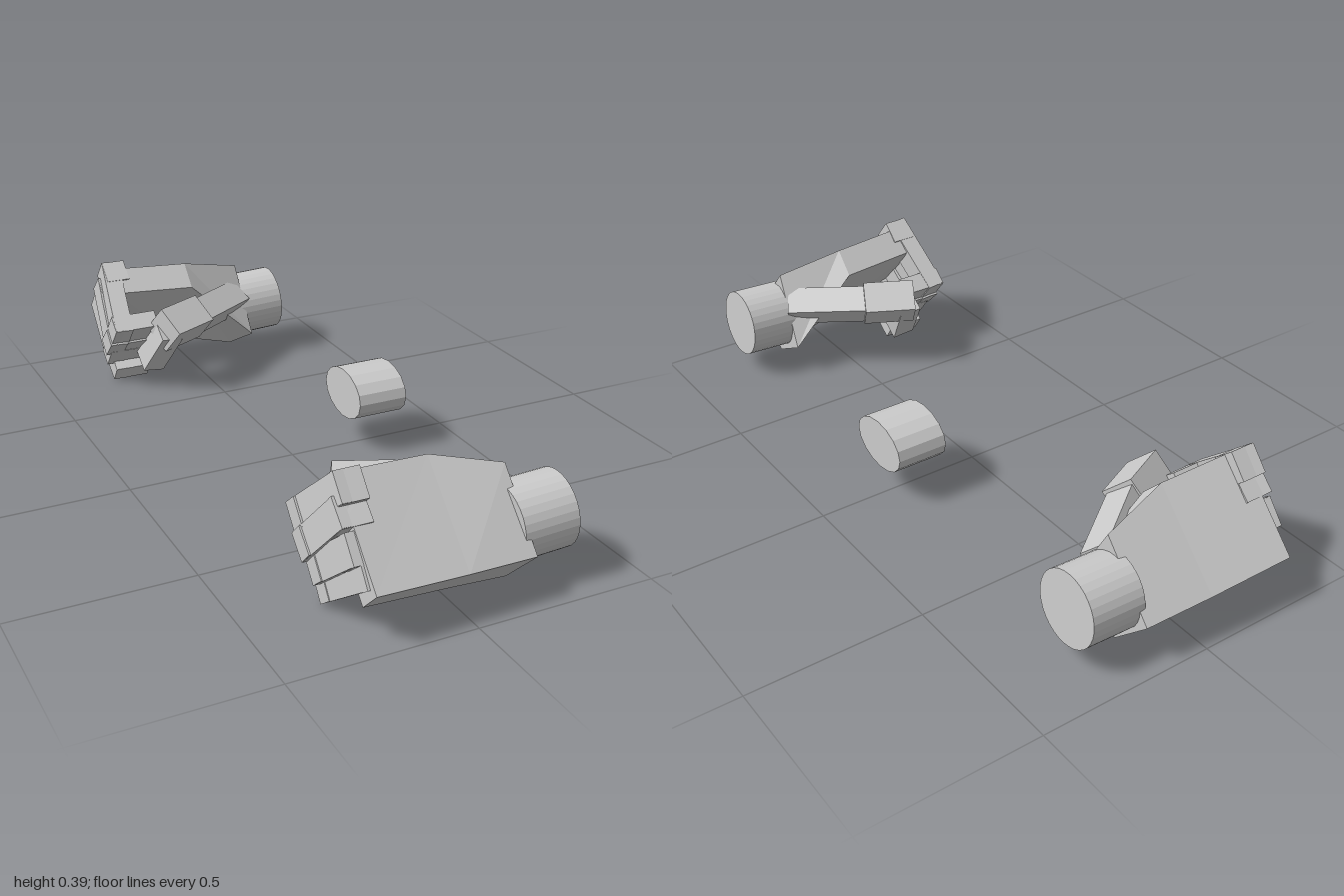
import * as THREE from 'three';

const material = new THREE.MeshStandardMaterial({ color: 0xcccccc, flatShading: true });
const V = (x, y, z) => new THREE.Vector3(x, y, z);

function mesh(name, geometry) {
  const m = new THREE.Mesh(geometry, material);
  m.name = name;
  return m;
}

// Box running from p to q, with height measured along "up" and depth across it
function bar(name, p, q, height, depth, up) {
  const along = q.clone().sub(p);
  const length = along.length();
  along.normalize();
  const h = up.clone().addScaledVector(along, -up.dot(along)).normalize();
  const d = along.clone().cross(h);
  const m = mesh(name, new THREE.BoxGeometry(length, height, depth));
  m.quaternion.setFromRotationMatrix(new THREE.Matrix4().makeBasis(along, h, d));
  m.position.copy(p).add(q).multiplyScalar(0.5);
  return m;
}

// Loft of four-cornered sections [x, y, z]; side -1 mirrors it in z
function loft(sections, side) {
  const points = sections.flat().flatMap(([x, y, z]) => [x, y, z * side]);
  const index = [];
  const quad = (a, b, c, d) =>
    side > 0 ? index.push(a, b, c, a, c, d) : index.push(a, c, b, a, d, c);
  const last = (sections.length - 1) * 4;
  for (let s = 0; s < last; s += 4)
    for (let i = 0; i < 4; i++) {
      const j = (i + 1) % 4;
      quad(s + i, s + 4 + i, s + 4 + j, s + j);
    }
  quad(0, 1, 2, 3);
  quad(last + 3, last + 2, last + 1, last);
  const g = new THREE.BufferGeometry();
  g.setAttribute('position', new THREE.Float32BufferAttribute(points, 3));
  g.setIndex(index);
  const flat = g.toNonIndexed();
  flat.computeVertexNormals();
  return flat;
}

// Curled fingers: outer knuckle (x, y, z), inner knuckle (x, y, z), width
const FINGERS = [
  { name: 'indexFinger', outer: [-0.29, 0.355, 0.83], inner: [-0.315, 0.19, 0.64], width: 0.08 },
  { name: 'middleFinger', outer: [-0.3, 0.302, 0.848], inner: [-0.32, 0.132, 0.687], width: 0.08 },
  { name: 'ringFinger', outer: [-0.295, 0.233, 0.902], inner: [-0.307, 0.088, 0.725], width: 0.08 },
  { name: 'littleFinger', outer: [-0.277, 0.178, 0.943], inner: [-0.287, 0.025, 0.733], width: 0.06 },
];

function makeFinger({ name, outer, inner, width }, side) {
  const finger = new THREE.Group();
  finger.name = name;
  const o = V(outer[0], outer[1], outer[2] * side);
  const i = V(inner[0], inner[1], inner[2] * side);
  const inward = V(0, i.y - o.y, i.z - o.z).normalize();
  const up = V(0, Math.abs(inward.z), inward.y * side);
  const o2 = o.clone().addScaledVector(inward, 0.035);
  const i2 = i.clone().addScaledVector(inward, -0.028);
  const slab = V(0.028, 0, 0);
  finger.add(
    bar('knuckle', o2, V(-0.218, o2.y, o2.z), width, 0.07, up),
    bar('middleJoint', o.clone().add(slab), i.clone().add(slab), width * 0.97, 0.056, up),
    bar('fingertip', i2, V(-0.173, i2.y, i2.z), width * 0.95, 0.056, up),
  );
  return finger;
}

function makeHand(name, side) {
  const hand = new THREE.Group();
  hand.name = name;
  const P = (x, y, z) => V(x, y, z * side);

  // Palm: thin at the knuckles, thicker and narrower at the wrist
  hand.add(mesh('palm', loft([
    [[-0.27, 0.153, 0.99], [-0.27, 0.368, 0.785], [-0.27, 0.305, 0.725], [-0.27, 0.09, 0.927]],
    [[-0.02, 0.14, 0.98], [-0.02, 0.355, 0.772], [-0.02, 0.292, 0.712], [-0.02, 0.055, 0.893]],
    [[0.175, 0.13, 0.968], [0.175, 0.308, 0.81], [0.187, 0.1, 0.7], [0.17, 0.016, 0.854]],
  ], side)));

  FINGERS.forEach((f) => hand.add(makeFinger(f, side)));

  // Thumb folded across the fingers
  const thumb = new THREE.Group();
  thumb.name = 'thumb';
  const up = P(0, 0.72, -0.69);
  thumb.add(
    bar('thumbBase', P(0.16, 0.205, 0.785), P(-0.05, 0.215, 0.635), 0.085, 0.085, up),
    bar('thumbMiddle', P(-0.03, 0.217, 0.645), P(-0.172, 0.214, 0.578), 0.1, 0.1, up),
    bar('thumbTip', P(-0.15, 0.21, 0.59), P(-0.182, 0.075, 0.69), 0.07, 0.08, P(1, 0, 0)),
  );
  hand.add(thumb);

  // Wrist stub, tilted very slightly upward
  const wrist = mesh('wrist', new THREE.CylinderGeometry(0.102, 0.102, 0.155, 32));
  wrist.position.set(0.237, 0.164, 0.838 * side);
  wrist.rotation.z = -Math.PI / 2 + 0.045;
  hand.add(wrist);
  return hand;
}

export function createModel() {
  const model = new THREE.Group();
  model.name = 'fists';
  model.add(makeHand('frontHand', 1), makeHand('backHand', -1));

  // Oval plug midway between the hands
  const plug = mesh('centrePlug', new THREE.CylinderGeometry(1, 1, 0.15, 16));
  plug.geometry.scale(0.073, 1, 0.108);
  plug.geometry.rotateZ(-Math.PI / 2);
  plug.position.set(0.238, 0.168, 0);
  model.add(plug);
  return model;
}
